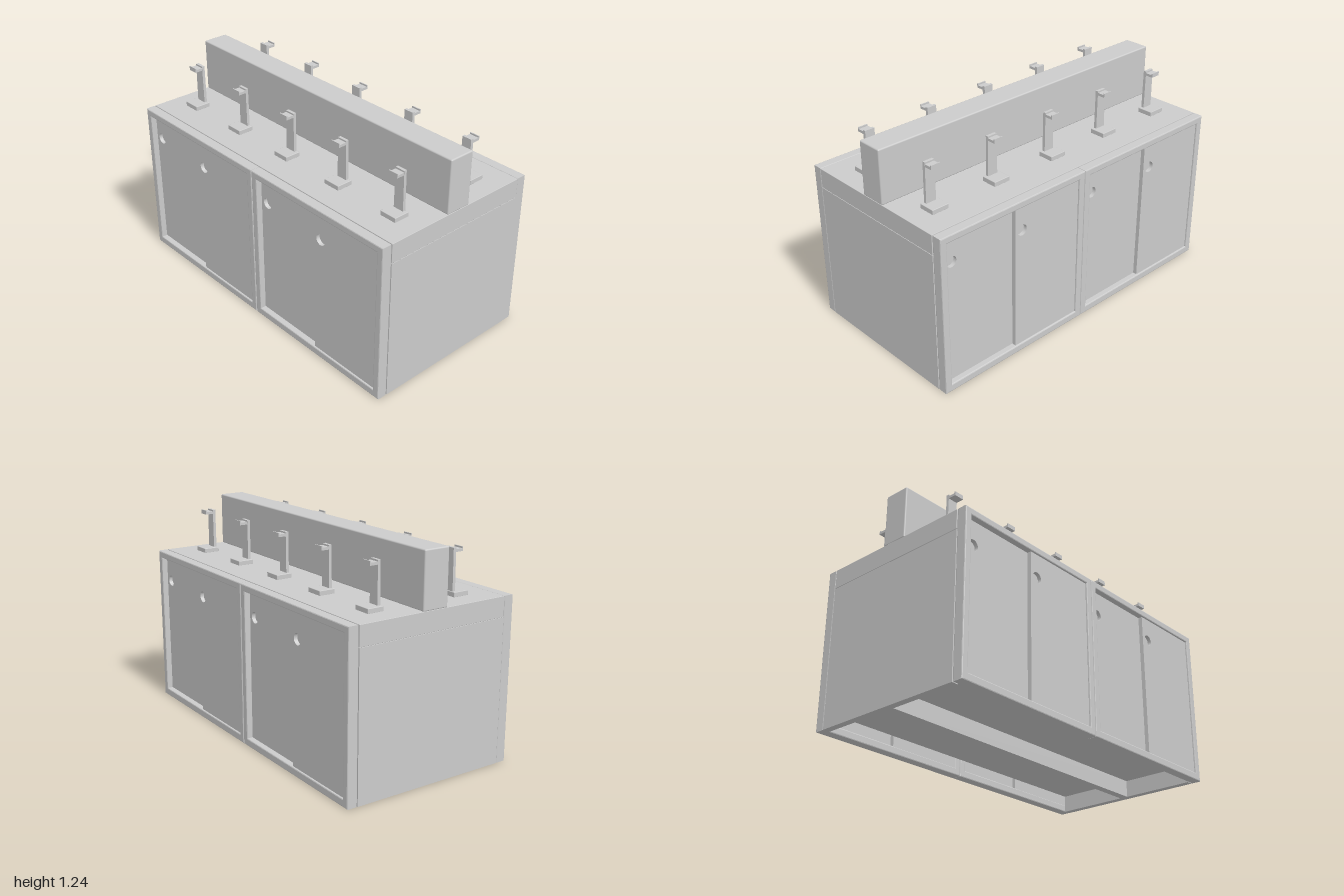
import * as THREE from 'three';
import { RoundedBoxGeometry } from 'three/addons/geometries/RoundedBoxGeometry.js';

const mat = new THREE.MeshStandardMaterial({ color: 0xcccccc });

// Box from its min and max corners; r > 0 rounds the edges
function box(name, [x0, y0, z0], [x1, y1, z1], r = 0) {
  const s = [x1 - x0, y1 - y0, z1 - z0];
  const geo = r ? new RoundedBoxGeometry(...s, 2, r) : new THREE.BoxGeometry(...s);
  const m = new THREE.Mesh(geo, mat);
  m.name = name;
  m.position.set((x0 + x1) / 2, (y0 + y1) / 2, (z0 + z1) / 2);
  return m;
}

function rect(Type, x0, y0, x1, y1) {
  return new Type([[x0, y0], [x1, y0], [x1, y1], [x0, y1]].map(p => new THREE.Vector2(...p)));
}

// Bevelled picture-frame around one pair of doors
function doorFrame(x0) {
  const shape = rect(THREE.Shape, x0 + 0.001, 0, x0 + 0.999, 0.933);
  shape.holes.push(rect(THREE.Path, x0 + 0.042, 0.044, x0 + 0.958, 0.893));
  const b = 0.006;
  const geo = new THREE.ExtrudeGeometry(shape, {
    depth: 0.06 - 2 * b, bevelThickness: b, bevelSize: b, bevelOffset: -b, bevelSegments: 2,
  });
  const m = new THREE.Mesh(geo, mat);
  m.name = 'doorFrame';
  m.position.z = 0.465 + b;
  return m;
}

// Sliding door with a round finger pull, front face at z
function slidingDoor(x0, x1, hx, z) {
  const g = new THREE.Group();
  g.name = 'slidingDoor';
  const hy = 0.755, r = 0.032, depth = 0.025;
  const shape = rect(THREE.Shape, x0, 0.038, x1, 0.898);
  const hole = new THREE.Path();
  hole.absarc(hx, hy, r, 0, Math.PI * 2, true);
  shape.holes.push(hole);
  const panel = new THREE.Mesh(
    new THREE.ExtrudeGeometry(shape, { depth, bevelEnabled: false, curveSegments: 24 }), mat);
  panel.name = 'doorPanel';
  panel.position.z = z - depth;
  const back = new THREE.Mesh(new THREE.CylinderGeometry(r + 0.002, r + 0.002, 0.004, 24), mat);
  back.name = 'fingerPullBack';
  back.rotation.x = Math.PI / 2;
  back.position.set(hx, hy, z - depth + 0.001);
  g.add(panel, back);
  return g;
}

// Tap: square foot, slightly tapered post, short spout with raised lip
function tap(x) {
  const g = new THREE.Group();
  g.name = 'tap';
  g.position.x = x;
  const post = box('tapPost', [-0.032, 0.95, 0.233], [0.032, 1.187, 0.25]);
  const p = post.geometry.attributes.position;
  for (let i = 0; i < p.count; i++) if (p.getY(i) > 0) p.setX(i, p.getX(i) * 0.92);
  post.geometry.computeVertexNormals();
  g.add(
    box('tapFoot', [-0.052, 0.931, 0.228], [0.052, 0.959, 0.323], 0.003),
    post,
    box('tapSpout', [-0.029, 1.163, 0.245], [0.029, 1.178, 0.297]),
    box('tapLip', [-0.029, 1.172, 0.291], [0.029, 1.187, 0.297]),
  );
  return g;
}

// Everything that belongs to one long side
function workSide(name) {
  const g = new THREE.Group();
  g.name = name;
  for (const x0 of [-1, 0]) {
    g.add(doorFrame(x0),
      slidingDoor(x0 + 0.036, x0 + 0.52, x0 + 0.092, 0.491),
      slidingDoor(x0 + 0.497, x0 + 0.964, x0 + 0.546, 0.515));
  }
  for (let i = -2; i <= 2; i++) g.add(tap(i * 0.4125));
  return g;
}

export function createModel() {
  const model = new THREE.Group();
  model.name = 'sinkUnit';

  // Carcass, open underneath below a raised floor
  for (const s of [-1, 1]) {
    const xs = [s * 0.96, s].sort((a, b) => a - b);
    model.add(box('endPanel', [xs[0], 0, -0.463], [xs[1], 0.818, 0.463]));
  }
  model.add(
    box('cabinetBody', [-0.96, 0.1, -0.463], [0.96, 0.818, 0.463]),
    box('middleRail', [-0.96, 0, -0.025], [0.96, 0.1, 0.025]),
    box('countertop', [-1, 0.82, -0.463], [1, 0.933, 0.463], 0.002),
    box('serviceBox', [-1, 0.931, -0.077], [1, 1.242, 0.077], 0.008),
  );

  // The two long sides are the same, turned half round
  const front = workSide('frontSide');
  const back = workSide('backSide');
  back.rotation.y = Math.PI;
  model.add(front, back);
  return model;
}
